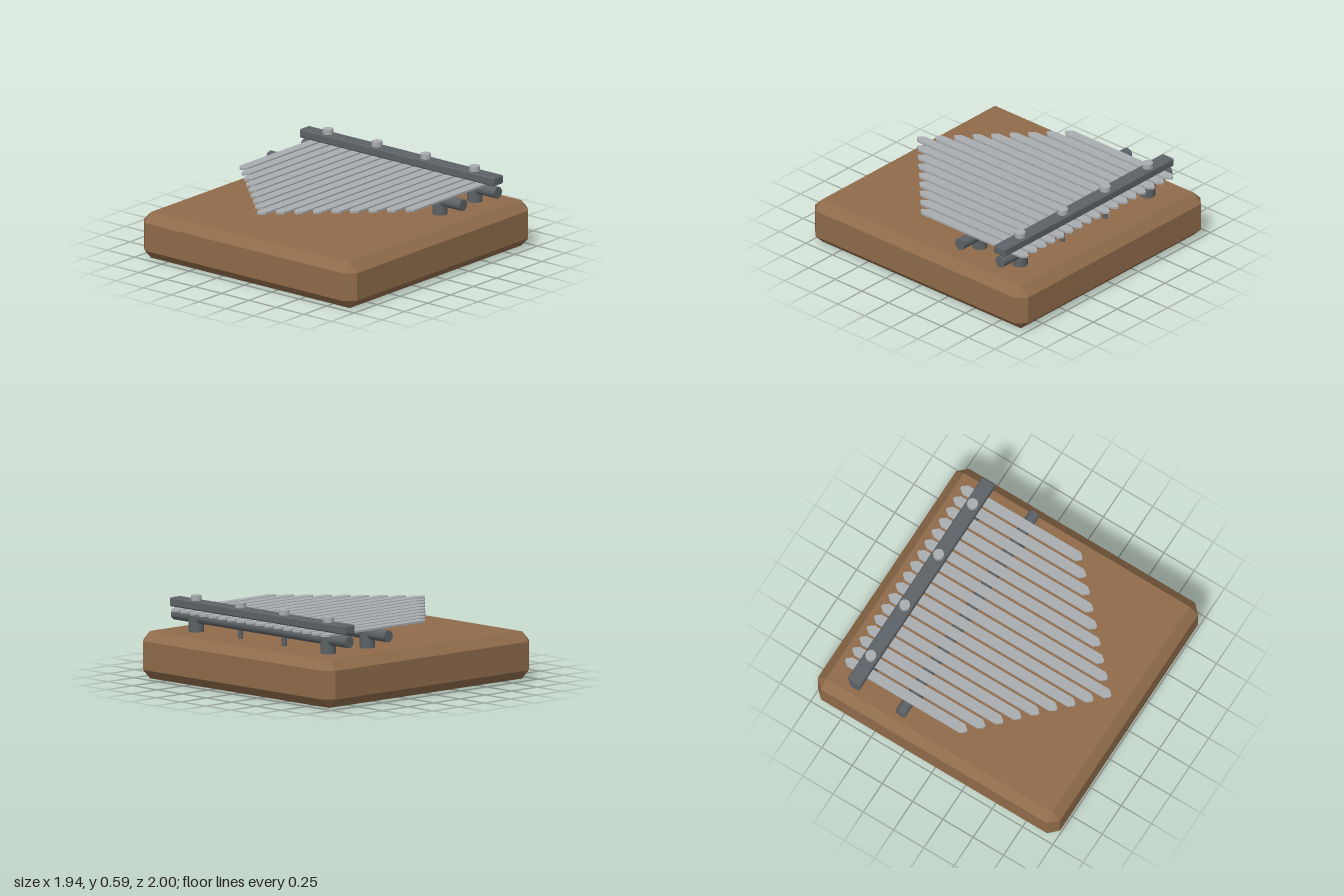
import * as THREE from 'three';
import { ConvexGeometry } from 'three/addons/geometries/ConvexGeometry.js';

const wood = new THREE.MeshStandardMaterial({ color: 0x8f6b4a });
const darkMetal = new THREE.MeshStandardMaterial({ color: 0x5c6266 });
const paleMetal = new THREE.MeshStandardMaterial({ color: 0xa9adb0 });

// Box with every edge and corner cut flat by c
function chamferedBox(w, h, d, c) {
  const points = [];
  for (const x of [-1, 1]) for (const y of [-1, 1]) for (const z of [-1, 1]) {
    for (let axis = 0; axis < 3; axis++) {
      const inset = [c, c, c];
      inset[axis] = 0;
      points.push(new THREE.Vector3(
        x * (w / 2 - inset[0]), y * (h / 2 - inset[1]), z * (d / 2 - inset[2])));
    }
  }
  return new ConvexGeometry(points);
}

// Flat strip with blunt pointed ends, lying along z
function tineGeometry(back, front, width, thickness) {
  const w = width / 2, tip = 0.008, point = 0.036;
  const shape = new THREE.Shape([
    [-w, -front + point], [-tip, -front], [tip, -front], [w, -front + point],
    [w, -back - point], [tip, -back], [-tip, -back], [-w, -back - point],
  ].map(([x, y]) => new THREE.Vector2(x, y)));
  const geometry = new THREE.ExtrudeGeometry(shape, { depth: thickness, bevelEnabled: false });
  return geometry.rotateX(-Math.PI / 2);
}

export function createModel() {
  const model = new THREE.Group();
  model.name = 'thumbPiano';

  function add(name, geometry, material, x, y, z) {
    const mesh = new THREE.Mesh(geometry, material);
    mesh.name = name;
    mesh.position.set(x, y, z);
    model.add(mesh);
    return mesh;
  }
  // Upright cylinder between two heights
  const post = (name, r, y0, y1, material, x, z) =>
    add(name, new THREE.CylinderGeometry(r, r, y1 - y0, 24), material, x, (y0 + y1) / 2, z);

  const bodyTop = 0.335, bridgeZ = -0.335, barZ = -0.713;

  // Wooden body
  add('body', chamferedBox(1.94, bodyTop, 2, 0.066), wood, 0, bodyTop / 2, 0);

  // Bridge rods, each on two stout posts
  for (const [name, z] of [['bridge', bridgeZ], ['backRest', barZ]]) {
    const rod = new THREE.CylinderGeometry(0.042, 0.042, 1.76, 24).rotateZ(Math.PI / 2);
    add(name + 'Rod', rod, darkMetal, 0, 0.437, z);
    for (const x of [-0.667, 0.667]) post(name + 'Post', 0.054, bodyTop - 0.01, 0.45, darkMetal, x, z);
  }

  // Tines, longest in the middle
  for (let i = -8; i <= 8; i++) {
    const front = 0.85 - Math.abs(i) * 0.0892;
    add('tine', tineGeometry(-0.865, front, 0.074, 0.015), paleMetal, i * 0.0945, 0.478, 0);
  }

  // Pressure bar and the bolts that hold it down
  add('pressureBar', chamferedBox(1.772, 0.062, 0.107, 0.008), darkMetal, 0, 0.525, barZ);
  for (const x of [-0.667, -0.222, 0.222, 0.667]) {
    post('boltShaft', 0.018, bodyTop - 0.01, 0.55, darkMetal, x, barZ);
    post('boltHead', 0.038, 0.55, 0.592, paleMetal, x, barZ);
  }

  return model;
}
